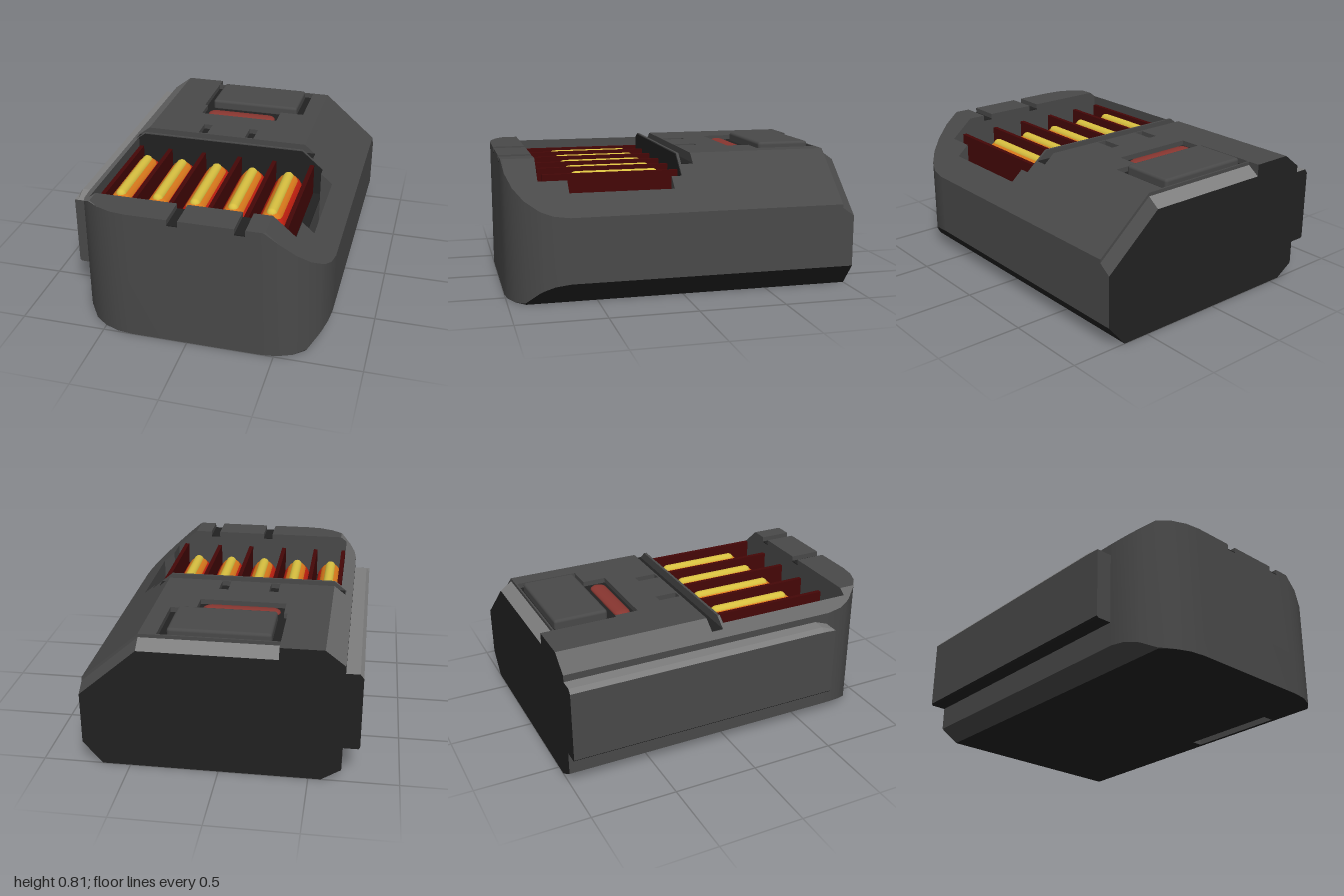
import * as THREE from 'three';
import { mergeGeometries, toCreasedNormals } from 'three/addons/utils/BufferGeometryUtils.js';
import { RoundedBoxGeometry } from 'three/addons/geometries/RoundedBoxGeometry.js';

const material = (name, color) => {
  const m = new THREE.MeshStandardMaterial({ color });
  m.name = name;
  return m;
};

// Height of the upper and lower outline of the casing at a given x
const lerp = (x, x0, y0, x1, y1) => y0 + (x - x0) / (x1 - x0) * (y1 - y0);
const topY = x => x < -0.57 ? lerp(x, -0.68, 0.70, -0.57, 0.785)
  : x > 0.44 ? lerp(x, 0.44, 0.785, 0.77, 0.50) : 0.785;
const bottomY = x => x < -0.57 ? lerp(x, -0.68, 0.07, -0.57, 0)
  : x > 0.66 ? lerp(x, 0.66, 0, 0.77, 0.13) : 0;

// Half-width limits: the two front corners are rounded in plan
const round = z => z <= 0.66 ? 1 : Math.sqrt(Math.max(0, 1 - ((z - 0.66) / 0.34) ** 2));
const leftX = z => -0.33 - 0.35 * round(z);
const rightX = z => 0.43 + 0.34 * round(z);

// Cross-section at z; each cut is [x0, x1, height(y, z)]
function section(z, cuts, lo, hi) {
  const a = Math.max(lo, leftX(z)), b = Math.min(hi, rightX(z));
  const breaks = [a, b, -0.68, -0.57, 0.44, 0.66, 0.77, ...cuts.flatMap(c => [c[0], c[1]])]
    .map(x => Math.min(b, Math.max(a, x))).sort((p, q) => p - q);
  const top = [];
  for (let i = 0; i < breaks.length - 1; i++) {
    const mid = (breaks[i] + breaks[i + 1]) / 2;
    const cut = cuts.find(c => mid > c[0] && mid < c[1]);
    for (const x of [breaks[i], breaks[i + 1]]) {
      top.push(new THREE.Vector2(x, cut ? Math.min(topY(x), cut[2](topY(x), z)) : topY(x)));
    }
  }
  return [...breaks.map(x => new THREE.Vector2(x, bottomY(x))), ...top.reverse()];
}

// Closed slab lofted through the given z stations
function slab(zs, cuts = [], lo = -1, hi = 1) {
  const rings = zs.map(z => section(z, cuts, lo, hi));
  const n = rings[0].length, pos = [];
  const put = (k, i) => pos.push(rings[k][i].x, rings[k][i].y, zs[k]);
  for (let k = 0; k < zs.length - 1; k++) {
    for (let i = 0; i < n; i++) {
      const j = (i + 1) % n;
      put(k, i); put(k, j); put(k + 1, j);
      put(k, i); put(k + 1, j); put(k + 1, i);
    }
  }
  for (const k of [0, zs.length - 1]) {
    for (const [p, q, r] of THREE.ShapeUtils.triangulateShape(rings[k].slice(), [])) {
      put(k, p); put(k, k ? q : r); put(k, k ? r : q);
    }
  }
  const g = new THREE.BufferGeometry();
  g.setAttribute('position', new THREE.Float32BufferAttribute(pos, 3));
  return g;
}

// Sorts triangles into material groups; rule(normal, centre) gives the material index
function paint(geometry, count, rule) {
  const p = geometry.attributes.position;
  const lists = Array.from({ length: count }, () => []);
  const tri = new THREE.Triangle(), normal = new THREE.Vector3(), centre = new THREE.Vector3();
  for (let i = 0; i < p.count; i += 3) {
    tri.setFromAttributeAndIndices(p, i, i + 1, i + 2);
    lists[rule(tri.getNormal(normal), tri.getMidpoint(centre))].push(i, i + 1, i + 2);
  }
  geometry.setIndex(lists.flat());
  geometry.clearGroups();
  let start = 0;
  lists.forEach((list, m) => {
    geometry.addGroup(start, list.length, m);
    start += list.length;
  });
  return geometry;
}

export function createModel() {
  const group = new THREE.Group();
  const grey = material('casing grey', 0x494949);
  const dark = material('underside charcoal', 0x212121);
  const mid = material('chamfer grey', 0x686868);
  const light = material('edge light grey', 0x7e7e7e);
  const maroon = material('divider maroon', 0x450707);
  const red = material('cell red', 0xc42010);
  const orange = material('cell orange', 0xdc7a1c);
  const yellow = material('cell yellow', 0xd8c040);
  const lamp = material('indicator red', 0x883630);

  const add = (name, geometry, mat, x = 0, y = 0, z = 0) => {
    const mesh = new THREE.Mesh(geometry, mat);
    mesh.name = name;
    mesh.position.set(x, y, z);
    group.add(mesh);
    return mesh;
  };
  const outline = points => new THREE.Shape(points.map(p => new THREE.Vector2(...p)));
  // Thin dark plate lying on the floor of a recess
  const floorPlate = (name, x0, x1, z0, z1, y) =>
    add(name, new THREE.BoxGeometry(x1 - x0, 0.006, z1 - z0), dark, (x0 + x1) / 2, y, (z0 + z1) / 2);

  // Casing, from back to front, with its recesses
  const flat = (x0, x1, y) => [x0, x1, () => y];
  const pocket = flat(-0.61, 0.57, 0.5);
  const rearLip = [-0.33, 1, (y, z) => y - lerp(z, -0.93, 0.02, -1, 0.07)];
  const backSlots = [[-0.245, -0.19], [0.055, 0.11]];
  const frontSlots = [[-0.095, -0.035], [0.275, 0.335]];
  const arc = [30, 45, 60, 75, 90].map(d => 0.66 + 0.34 * Math.sin(d * Math.PI / 180));
  const slabs = [
    slab([-1, -0.93], [rearLip]),
    slab([-0.93, -0.92]),
    slab([-0.92, -0.55], [flat(-0.33, 0.34, 0.75)]),
    slab([-0.55, -0.41], [flat(-0.31, 0.19, 0.75)]),
    slab([-0.41, -0.24]),
    slab([-0.24, -0.11], backSlots.map(s => flat(...s, 0.75))),
    slab([-0.11, -0.10]),
    slab([-0.10, -0.03], [flat(-0.641, 0.504, 0.73)]),
    slab([-0.03, -0.015]),
    slab([-0.015, 0.045], [pocket]),
    slab([0.045, 0.645], [flat(-0.61, 1, 0.5)], -1, 0.57),
    slab([0.045, 0.645], [], 0.64, 1),
    slab([0.645, 0.66, 0.748, 0.81], [pocket]),
    slab([0.81, ...arc], frontSlots.map(s => flat(...s, 0.75))),
  ];
  // Dark back and underside, lighter left chamfer and rear lip
  const casing = paint(toCreasedNormals(mergeGeometries(slabs), 0.45), 4, (n, c) => {
    if ((n.z < -0.9 && c.z < -0.99) || (n.y < -0.5 && n.x > -0.3)) return 1;
    if (n.y > 0.5 && n.x < -0.3) return 2;
    return n.y > 0.5 && n.z < -0.2 && n.x < 0.3 ? 3 : 0;
  });
  add('casing', casing, [grey, dark, mid, light]);

  // Dark recess floors and pocket back wall
  floorPlate('buttonRecess', -0.33, 0.34, -0.92, -0.55, 0.752);
  floorPlate('indicatorRecess', -0.31, 0.19, -0.55, -0.41, 0.752);
  floorPlate('crossGroove', -0.635, 0.504, -0.10, -0.03, 0.729);
  floorPlate('pocketFloor', -0.61, 0.57, -0.015, 0.81, 0.502);
  backSlots.forEach(([a, b]) => floorPlate('backSlot', a, b, -0.24, -0.11, 0.752));
  frontSlots.forEach(([a, b]) => floorPlate('frontSlot', a, b, 0.81, 1, 0.752));
  const wall = outline([[-0.61, 0.5], [0.57, 0.5], [0.57, 0.67], [0.44, 0.78], [-0.57, 0.78], [-0.61, 0.75]]);
  add('pocketBackWall', new THREE.ExtrudeGeometry(wall, { depth: 0.004, bevelEnabled: false }), dark, 0, 0, -0.015);

  // Release button and indicator lamp
  add('button', new RoundedBoxGeometry(0.57, 0.07, 0.32, 2, 0.018), grey, 0.005, 0.777, -0.74);
  const pill = add('indicator', new THREE.CapsuleGeometry(0.05, 0.35, 5, 16), lamp, -0.06, 0.757, -0.48);
  pill.rotation.z = Math.PI / 2;
  pill.scale.x = 0.4;

  // Side rail with a light top that dips at the front end
  const railShape = outline([[-0.66, 0.21], [-0.66, 0.66], [-0.755, 0.66], [-0.775, 0.635],
    [-0.775, 0.22], [-0.765, 0.21]]);
  const rail = new THREE.ExtrudeGeometry(railShape, { depth: 1.65, steps: 20, bevelEnabled: false });
  const rp = rail.attributes.position;
  for (let i = 0; i < rp.count; i++) {
    if (rp.getZ(i) > 1.64) rp.setY(i, Math.min(rp.getY(i), 0.63));
  }
  rail.computeVertexNormals();
  paint(rail, 3, n => n.z < -0.9 || n.y < -0.5 ? 1 : n.y > 0.4 ? 2 : 0);
  add('sideRail', rail, [grey, dark, light], 0, 0, -1);

  // Dividers between the cells
  for (const x of [-0.59, -0.40, -0.18, 0.05, 0.27, 0.505]) {
    add('divider', new THREE.BoxGeometry(0.026, 0.2, 0.785), maroon, x, 0.6, 0.388);
  }

  // Glowing cells: three stacked capsules, narrower towards the top
  const layers = [['cellOuter', 0.085, 0.64, 0.58, red], ['cellMiddle', 0.066, 0.585, 0.612, orange],
    ['cellCore', 0.032, 0.52, 0.661, yellow]];
  for (let i = 0; i < 5; i++) {
    for (const [name, r, length, y, mat] of layers) {
      const cell = add(name, new THREE.CapsuleGeometry(r, length - 2 * r, 5, 16), mat, -0.515 + i * 0.2245, y, 0.34);
      cell.rotation.x = Math.PI / 2;
    }
  }
  return group;
}
